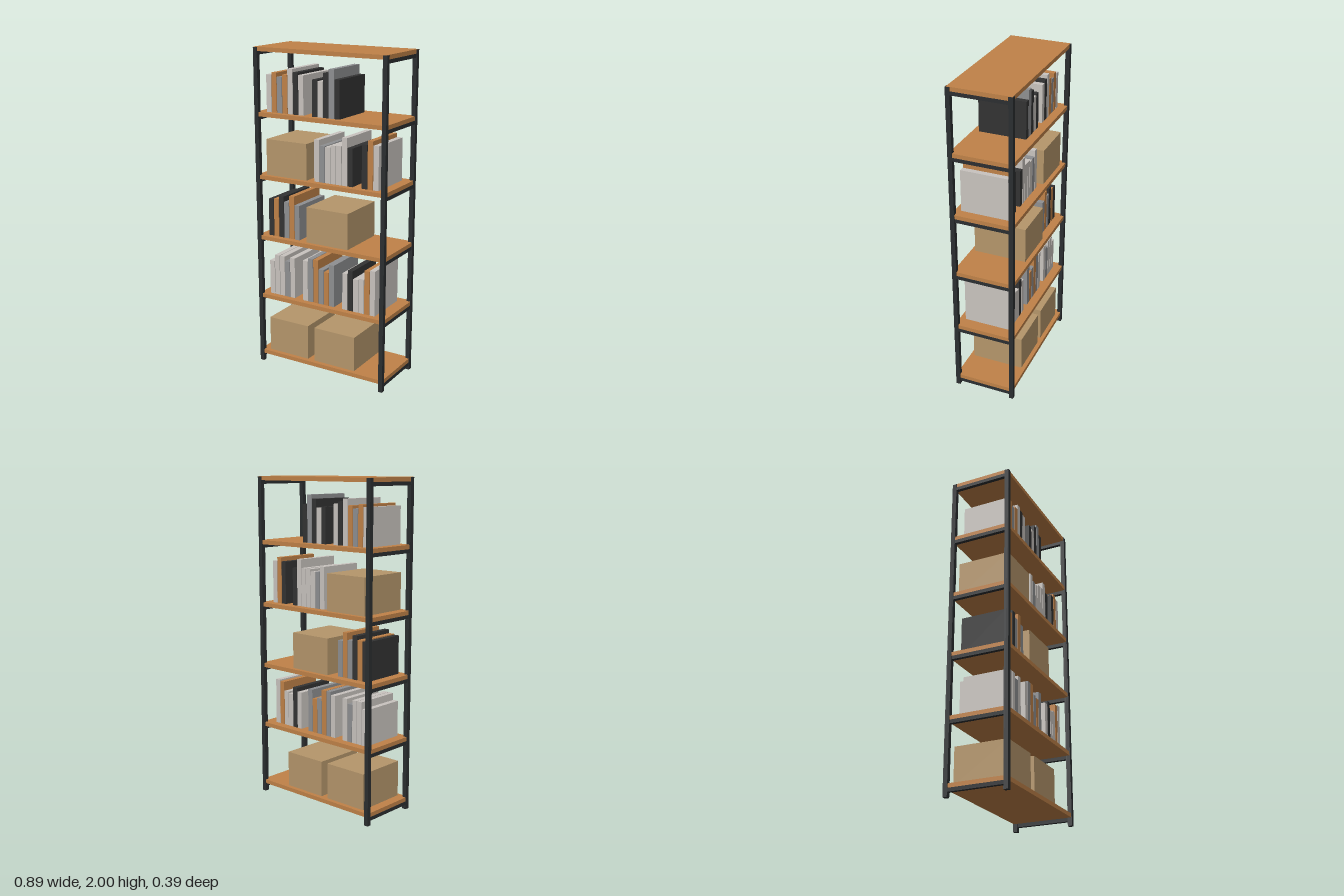
import * as THREE from 'three';

const material = (name, color) => {
  const m = new THREE.MeshStandardMaterial({ color });
  m.name = name;
  return m;
};

export function createModel() {
  const model = new THREE.Group();
  model.name = 'bookshelf';

  const wood = material('wood', 0xc08248);
  const metal = material('dark metal', 0x2b2e30);
  const card = material('cardboard', 0xb5966b);
  const bookColours = {
    L: material('light book', 0xc9c4bf),
    G: material('grey book', 0x8f9092),
    D: material('black book', 0x333333),
    O: wood,
  };

  // Box placed by its centre in x and z and by its underside in y
  const addBox = (parent, name, mat, w, h, d, x, y, z) => {
    const mesh = new THREE.Mesh(new THREE.BoxGeometry(w, h, d), mat);
    mesh.name = name;
    mesh.position.set(x, y + h / 2, z);
    parent.add(mesh);
  };

  // Corner posts, ending just under the top board's surface
  const halfW = 0.4445, halfD = 0.1935, post = 0.027;
  for (const sx of [-1, 1]) {
    for (const sz of [-1, 1]) {
      addBox(model, 'post', metal, post, 1.998, post,
        sx * (halfW - post / 2), 0, sz * (halfD - post / 2));
    }
  }

  // Boards, each carried by a rail at either end
  const boardTop = (i) => 0.075 + i * 0.385;
  const thickness = 0.025;
  for (let i = 0; i < 6; i++) {
    const y = boardTop(i) - thickness;
    addBox(model, 'shelfBoard', wood, 0.882, thickness, 0.378, 0, y, 0);
    for (const sx of [-1, 1]) {
      addBox(model, 'sideRail', metal, 0.022, 0.022, 0.35, sx * 0.4315, y - 0.022, 0);
    }
  }

  // Storage boxes: shelf index and centre x
  for (const [shelf, x] of [[0, -0.24], [0, 0.092], [2, 0.042], [3, -0.24]]) {
    addBox(model, 'storageBox', card, 0.285, 0.221, 0.328, x, boardTop(shelf) + 0.001, 0);
  }

  // Rows of books: shelf index, left edge, colours, heights
  const rows = [
    [1, -0.383, 'LLLGL', [0.218, 0.26, 0.26, 0.231, 0.26]],
    [1, -0.138, 'LGOGOG', [0.26, 0.279, 0.279, 0.223, 0.213, 0.266]],
    [1, 0.143, 'LDLLOL', [0.231, 0.255, 0.208, 0.218, 0.274, 0.282]],
    [2, -0.383, 'DODGOG', [0.233, 0.238, 0.26, 0.228, 0.27, 0.217]],
    [3, -0.051, 'LGLLLLD', [0.253, 0.219, 0.216, 0.23, 0.232, 0.283, 0.227]],
    [3, 0.27, 'DOL', [0.259, 0.283, 0.259]],
    [4, -0.383, 'LOGOLDL', [0.223, 0.237, 0.213, 0.229, 0.266, 0.247, 0.234]],
    [4, -0.063, 'DLDGD', [0.215, 0.208, 0.258, 0.282, 0.226]],
  ];
  const pitch = 0.0377, bookWidth = 0.034;
  for (const [shelf, left, colours, heights] of rows) {
    const row = new THREE.Group();
    row.name = 'bookRow';
    heights.forEach((h, i) => {
      addBox(row, 'book', bookColours[colours[i]], bookWidth, h, 0.29,
        left + i * pitch + bookWidth / 2, boardTop(shelf), 0.007);
    });
    model.add(row);
  }

  return model;
}
